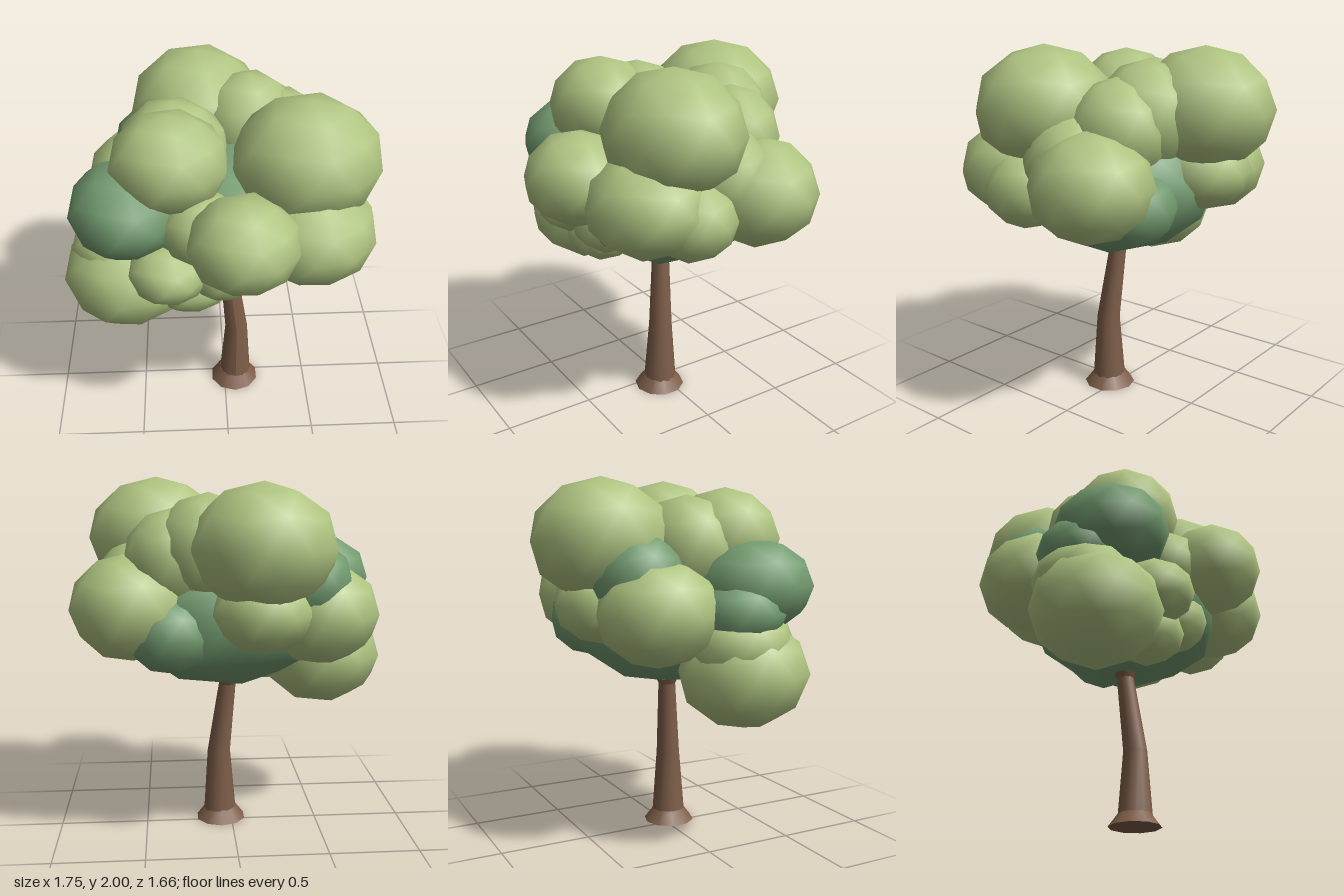
import * as THREE from 'three';

const leafLight = new THREE.MeshStandardMaterial({ name: 'light leaf green', color: 0xb0c582 });
const leafDark = new THREE.MeshStandardMaterial({ name: 'dark leaf green', color: 0x749c71 });
const bark = new THREE.MeshStandardMaterial({ name: 'bark brown', color: 0x7e5e49 });

// Low icosphere standing on one of its corners, shared by all leaf clumps
const ball = new THREE.IcosahedronGeometry(1, 1);
ball.rotateX(-Math.atan((1 + Math.sqrt(5)) / 2));
ball.rotateY(0.24);

// Each clump: centre x, y, z, then radius x, y, z
const lightClumps = [
  // crown
  [0.41, 1.67, 0.19, 0.39, 0.33, 0.36],
  [-0.13, 1.66, -0.45, 0.38, 0.33, 0.38],
  [-0.29, 1.67, 0.2, 0.31, 0.27, 0.29],
  [-0.27, 1.62, -0.02, 0.30, 0.28, 0.27],
  [0.14, 1.64, -0.27, 0.29, 0.29, 0.28],
  [0.32, 1.58, -0.22, 0.27, 0.27, 0.27],
  // left side of the tree
  [0.50, 1.43, -0.06, 0.25, 0.26, 0.25],
  [0.55, 1.33, -0.24, 0.33, 0.29, 0.32],
  [0.43, 1.34, 0.36, 0.34, 0.27, 0.32],
  [0.56, 1.27, 0.18, 0.24, 0.22, 0.24],
  // front
  [0.07, 1.41, 0.55, 0.29, 0.25, 0.28],
  [-0.12, 1.38, 0.36, 0.23, 0.20, 0.22],
  [-0.31, 1.13, 0.38, 0.22, 0.17, 0.22],
  [-0.20, 0.97, 0.27, 0.23, 0.17, 0.20],
  [-0.02, 1.10, 0.33, 0.21, 0.18, 0.20],
  // right side of the tree
  [-0.54, 0.98, 0.17, 0.35, 0.30, 0.35],
  [-0.59, 1.13, 0.12, 0.25, 0.20, 0.28],
  // back
  [-0.45, 1.30, -0.28, 0.32, 0.28, 0.33],
  [-0.13, 1.33, -0.46, 0.27, 0.21, 0.25],
];
const darkClumps = [
  [0.04, 1.25, 0.0, 0.59, 0.40, 0.55], // core
  [-0.52, 1.43, 0.24, 0.30, 0.25, 0.32],
  [-0.60, 1.30, 0.11, 0.23, 0.18, 0.24],
  [-0.36, 1.47, -0.35, 0.25, 0.24, 0.25],
  [0.34, 1.20, -0.34, 0.25, 0.21, 0.22],
];

function addClumps(group, name, list, material) {
  list.forEach(([x, y, z, rx, ry, rz], i) => {
    const mesh = new THREE.Mesh(ball, material);
    mesh.name = name + (i + 1);
    mesh.position.set(x, y, z);
    mesh.scale.set(rx, ry, rz);
    group.add(mesh);
  });
}

// Bent tapering trunk: rings of a cylinder are moved onto stations (x, y, z, radius)
function trunkGeometry() {
  const stations = [
    [0.066, 0, 0.045, 0.098],
    [0.072, 0.42, 0.045, 0.066],
    [0.022, 0.85, 0.012, 0.048],
    [0.005, 1.1, 0.0, 0.035],
  ];
  const n = stations.length - 1;
  const geo = new THREE.CylinderGeometry(1, 1, n, 12, n);
  const p = geo.attributes.position;
  for (let i = 0; i < p.count; i++) {
    const [x, y, z, r] = stations[Math.round(p.getY(i) + n / 2)];
    p.setXYZ(i, x + p.getX(i) * r, y, z + p.getZ(i) * r);
  }
  geo.computeVertexNormals();
  return geo;
}

export function createModel() {
  const tree = new THREE.Group();
  tree.name = 'tree';

  const foliage = new THREE.Group();
  foliage.name = 'foliage';
  addClumps(foliage, 'lightLeafClump', lightClumps, leafLight);
  addClumps(foliage, 'darkLeafClump', darkClumps, leafDark);
  tree.add(foliage);

  const trunk = new THREE.Mesh(trunkGeometry(), bark);
  trunk.name = 'trunk';
  tree.add(trunk);

  // Flared foot of the trunk
  const foot = new THREE.Mesh(new THREE.CylinderGeometry(0.092, 0.145, 0.07, 10), bark);
  foot.name = 'trunkFoot';
  foot.position.set(0.062, 0.035, 0.046);
  tree.add(foot);

  // Collar where the trunk enters the leaves
  const collar = new THREE.Mesh(new THREE.CylinderGeometry(0.062, 0.048, 0.03, 10), bark);
  collar.name = 'trunkCollar';
  collar.position.set(0.022, 0.85, 0.012);
  tree.add(collar);

  return tree;
}
